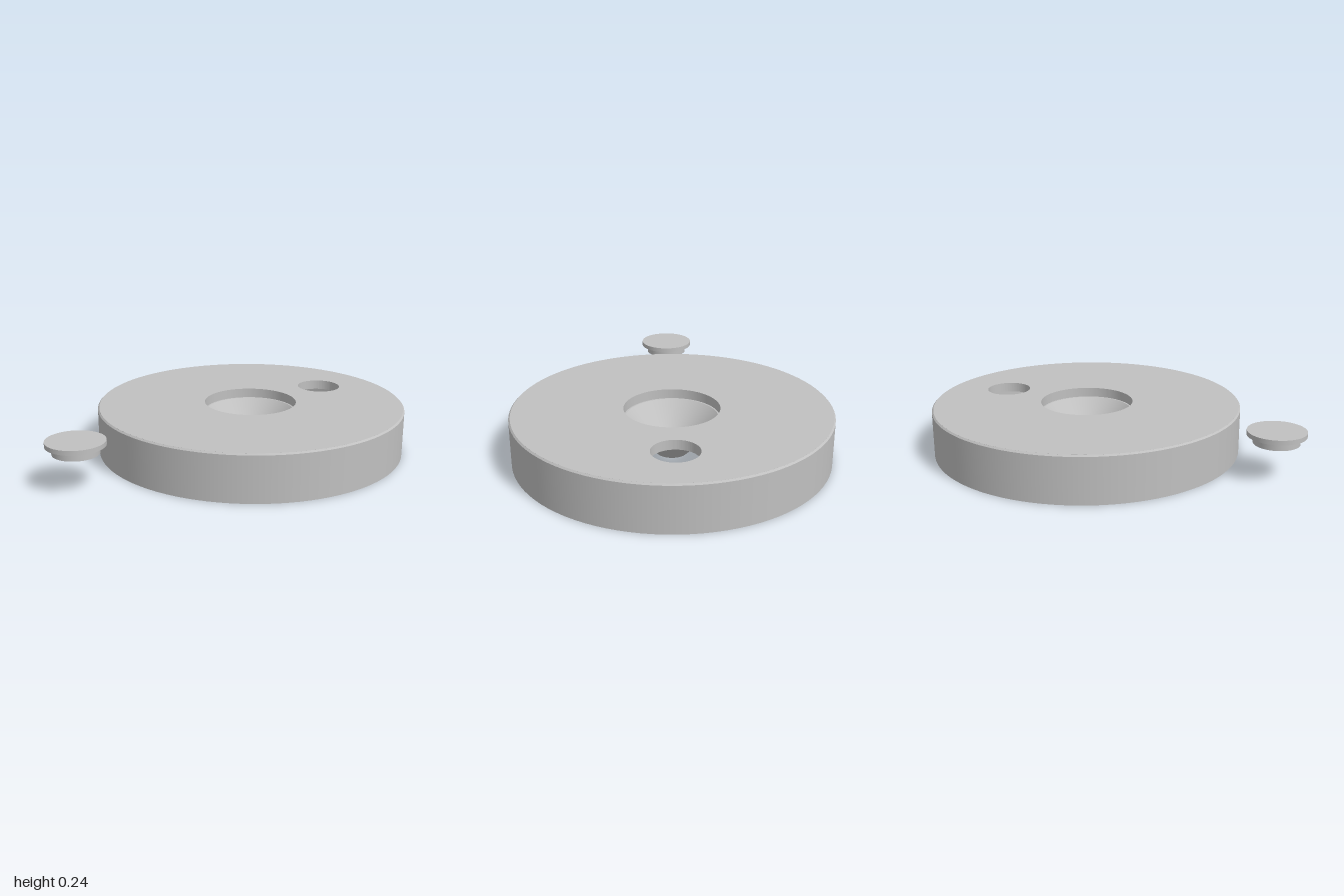
import * as THREE from 'three';
import { mergeGeometries, toCreasedNormals } from 'three/addons/utils/BufferGeometryUtils.js';

const SEGMENTS = 96;
const TOP = 0.243;        // upper face of the lid
const UNDER = 0.193;      // underside of the lid plate
const RADIUS = 0.81;
const MOUTH = 0.243;      // funnel mouth radius
const CHAMFER = 0.008;

// Revolves a profile with a crisp edge at every profile point.
// The profile runs up the outside and down the inside.
function turned(profile) {
  const bands = [];
  for (let i = 0; i < profile.length - 1; i++) {
    const pair = [profile[i], profile[i + 1]].map(([r, y]) => new THREE.Vector2(r, y));
    bands.push(new THREE.LatheGeometry(pair, SEGMENTS));
  }
  return mergeGeometries(bands);
}

function circle(PathType, x, r) {
  return new PathType().absarc(x, 0, r, 0, Math.PI * 2, false);
}

export function createModel() {
  const model = new THREE.Group();
  model.name = 'funnelLidWithPlug';
  const grey = new THREE.MeshStandardMaterial({ color: 0xc0c0c0 });
  grey.name = 'light grey';

  const add = (parent, name, geometry) => {
    const mesh = new THREE.Mesh(geometry, grey);
    mesh.name = name;
    parent.add(mesh);
  };

  const lid = new THREE.Group();
  lid.name = 'lid';
  lid.position.x = 0.19;
  model.add(lid);

  // Top plate with the funnel mouth and the plug hole
  const plate = circle(THREE.Shape, 0, RADIUS - CHAMFER);
  plate.holes.push(circle(THREE.Path, 0, MOUTH), circle(THREE.Path, 0.497, 0.116));
  const plateGeometry = new THREE.ExtrudeGeometry(plate, {
    depth: TOP - UNDER, bevelEnabled: false, curveSegments: SEGMENTS,
  });
  plateGeometry.rotateX(-Math.PI / 2).translate(0, UNDER, 0);
  add(lid, 'topPlate', toCreasedNormals(plateGeometry, 0.5));

  // Hollow skirt with a small chamfer at its upper edge
  add(lid, 'skirt', turned([
    [RADIUS - 0.04, UNDER], [RADIUS - 0.04, 0], [RADIUS, 0],
    [RADIUS, TOP - CHAMFER], [RADIUS - CHAMFER, TOP],
  ]));

  // Conical funnel with a narrow ledge and an open tip
  add(lid, 'funnel', turned([
    [MOUTH, UNDER], [0.235, UNDER], [0.05, 0], [0.08, 0], [0.275, UNDER],
  ]));

  // Separate stepped plug
  const plug = new THREE.Group();
  plug.name = 'plug';
  plug.position.x = -0.855;
  model.add(plug);
  add(plug, 'plugBody', turned([
    [0, 0.18], [0.114, 0.18], [0.114, 0.22], [0.145, 0.22], [0.145, TOP], [0, TOP],
  ]));

  return model;
}
